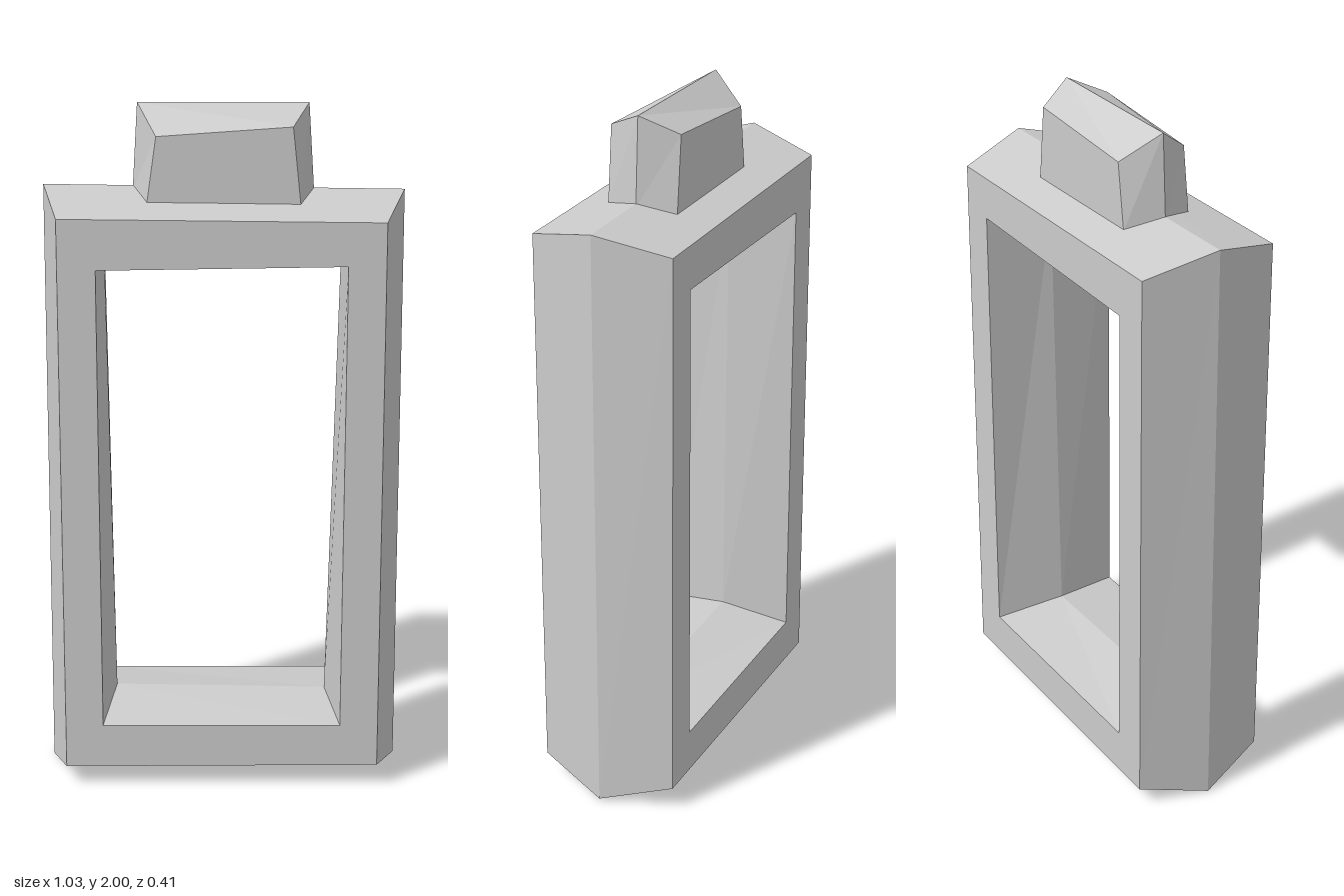
import * as THREE from 'three';

// Places four [x, y] corners (counterclockwise seen from the front) at depth z
const ring = (corners, z) => corners.map(([x, y]) => [x, y, z]);

// Skins a row of four-corner rings with flat quads; either joins the last ring
// to the first, or covers both ends
function loft(rings, closed) {
  const pos = [];
  const quad = (a, b, c, d) => pos.push(...a, ...b, ...c, ...a, ...c, ...d);
  const n = rings.length;
  for (let i = 0; i < (closed ? n : n - 1); i++) {
    const p = rings[i], q = rings[(i + 1) % n];
    for (let j = 0; j < 4; j++) {
      const k = (j + 1) % 4;
      quad(p[j], q[j], q[k], p[k]);
    }
  }
  if (!closed) {
    quad(...rings[0]);
    quad(...[...rings[n - 1]].reverse());
  }
  const geometry = new THREE.BufferGeometry();
  geometry.setAttribute('position', new THREE.Float32BufferAttribute(pos, 3));
  geometry.computeVertexNormals();
  return geometry;
}

export function createModel() {
  const group = new THREE.Group();
  const material = new THREE.MeshStandardMaterial({ color: 0xcccccc, flatShading: true });
  const add = (name, geometry) => {
    const mesh = new THREE.Mesh(geometry, material);
    mesh.name = name;
    group.add(mesh);
  };

  // Frame: slightly crooked, ridged halfway through its depth inside and out
  const depth = 0.207;
  const outerFace = [[-0.463, 0.066], [0.453, 0.075], [0.446, 1.708], [-0.455, 1.716]];
  const outerRidge = [[-0.518, 0.005], [0.515, 0.015], [0.505, 1.758], [-0.505, 1.77]];
  const innerFace = [[-0.353, 0.2], [0.342, 0.203], [0.342, 1.585], [-0.35, 1.573]];
  const innerRidge = [[-0.322, 0.238], [0.302, 0.23], [0.33, 1.56], [-0.338, 1.55]];
  add('frame', loft([
    ring(outerFace, depth), ring(outerRidge, 0), ring(outerFace, -depth),
    ring(innerFace, -depth), ring(innerRidge, 0), ring(innerFace, depth),
  ], true));

  // Top block: tapered, with a ridge running across its middle
  const blockDepth = 0.104;
  const blockFace = [[-0.212, 1.735], [0.213, 1.732], [0.19, 1.95], [-0.185, 1.923]];
  const blockRidge = [[-0.255, 1.755], [0.252, 1.75], [0.236, 2], [-0.24, 2]];
  add('topBlock', loft([
    ring(blockFace, blockDepth), ring(blockRidge, 0), ring(blockFace, -blockDepth),
  ], false));

  return group;
}
